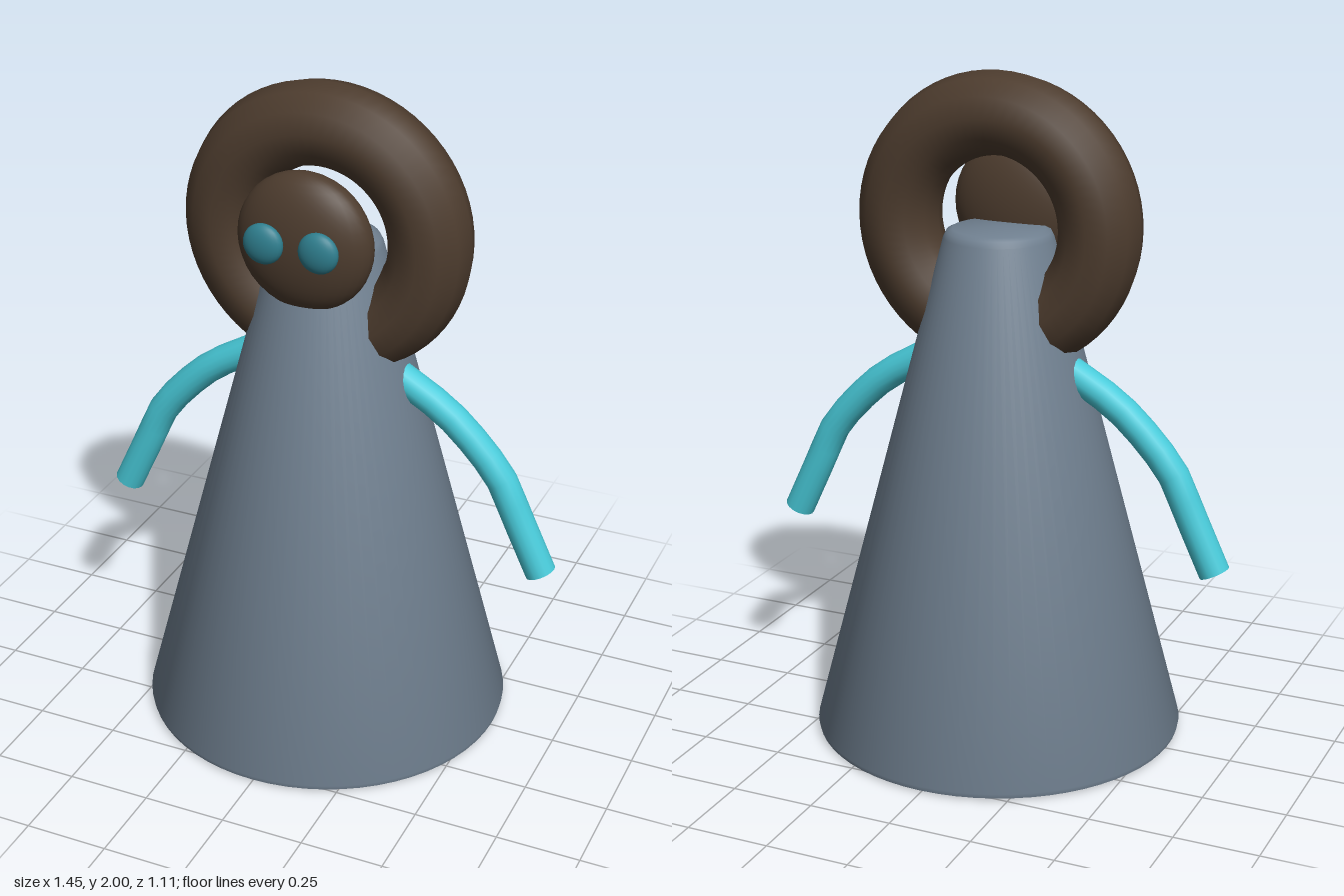
import * as THREE from 'three';
import { toCreasedNormals } from 'three/addons/utils/BufferGeometryUtils.js';

const paint = (color, side = THREE.FrontSide) => {
  const m = new THREE.MeshStandardMaterial({ side });
  m.color.set(color);
  return m;
};

export function createModel() {
  const model = new THREE.Group();
  const grey = paint(0x708090);
  const brown = paint(0x4d3c2e);
  const teal = paint(0x2f7f8f);
  const cyan = paint(0x48cad9, THREE.DoubleSide);

  const add = (name, geometry, material, x = 0, y = 0, z = 0) => {
    const mesh = new THREE.Mesh(geometry, material);
    mesh.name = name;
    mesh.position.set(x, y, z);
    model.add(mesh);
    return mesh;
  };

  // Conical body with softened rims, closed at both ends
  const profile = [
    [0, 0], [0.54, 0], [0.552, 0.006], [0.555, 0.02],
    [0.161, 1.52], [0.152, 1.538], [0.135, 1.546], [0, 1.55],
  ].map(([r, y]) => new THREE.Vector2(r, y));
  add('body', toCreasedNormals(new THREE.LatheGeometry(profile, 64), 0.7), grey);

  // Ring of hair standing behind the face, sunk into the body below
  add('hairRing', new THREE.TorusGeometry(0.315, 0.122, 12, 64), brown, 0, 1.563, 0);

  // Flattened head
  add('head', new THREE.SphereGeometry(1, 32, 20), brown, 0, 1.584, 0.152).scale.set(0.205, 0.206, 0.093);

  // Curved open-ended arm, drawn once per side
  const arm = [[0.2, 1.157], [0.37, 1.057], [0.46, 0.977], [0.55, 0.87], [0.597, 0.77], [0.683, 0.588]];

  for (const [side, s] of [['left', 1], ['right', -1]]) {
    add(side + 'Eye', new THREE.SphereGeometry(1, 24, 16), teal, s * 0.083, 1.6, 0.251).scale.set(0.06, 0.06, 0.029);
    const path = new THREE.CatmullRomCurve3(arm.map(([x, y]) => new THREE.Vector3(s * x, y, 0)));
    add(side + 'Arm', new THREE.TubeGeometry(path, 10, 0.046, 16), cyan);
  }
  return model;
}
